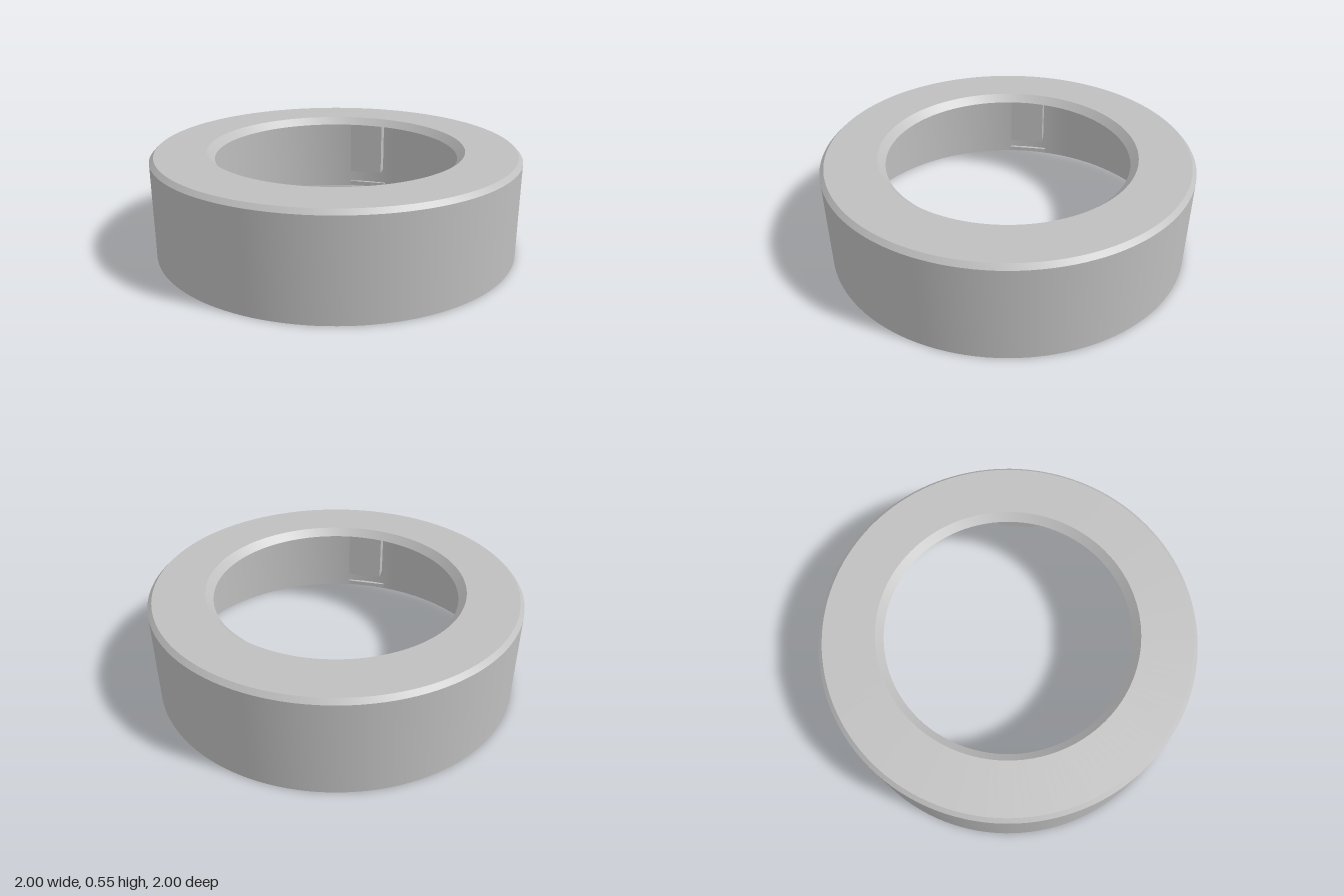
import * as THREE from 'three';
import { toCreasedNormals } from 'three/addons/utils/BufferGeometryUtils.js';

export function createModel() {
  const group = new THREE.Group();
  const grey = new THREE.MeshStandardMaterial({ color: 0xbfbfbf });
  grey.name = 'light grey';

  // Hollow ring: outer wall, bevelled rim, flat lid with chamfered hole, inner wall
  const profile = [
    [1, 0], [1, 0.522], [0.977, 0.545], [0.7, 0.545],
    [0.66, 0.505], [0.945, 0.505], [0.945, 0], [1, 0],
  ].map(([r, y]) => new THREE.Vector2(r, y));
  const ring = new THREE.Mesh(toCreasedNormals(new THREE.LatheGeometry(profile, 128), 0.5), grey);
  ring.name = 'ringCap';
  group.add(ring);

  // Block set on the inner wall at an angle measured from the front towards +x
  function wallBlock(name, degrees, width, inner, outer, bottom, top) {
    const geometry = new THREE.BoxGeometry(width, top - bottom, outer - inner);
    geometry.translate(0, (top + bottom) / 2, (inner + outer) / 2);
    const block = new THREE.Mesh(geometry, grey);
    block.name = name;
    block.rotation.y = THREE.MathUtils.degToRad(degrees);
    group.add(block);
  }

  // Four stop ribs, each with a thin snap lip beneath
  for (const angle of [45, 135, 225, 315]) {
    wallBlock('stopRib', angle, 0.206, 0.845, 0.965, 0.135, 0.51);
    wallBlock('snapLip', angle, 0.24, 0.925, 0.965, 0.012, 0.036);
  }

  // Single locating rib on the side
  wallBlock('keyRib', 90, 0.206, 0.845, 0.965, 0.135, 0.51);

  return group;
}
